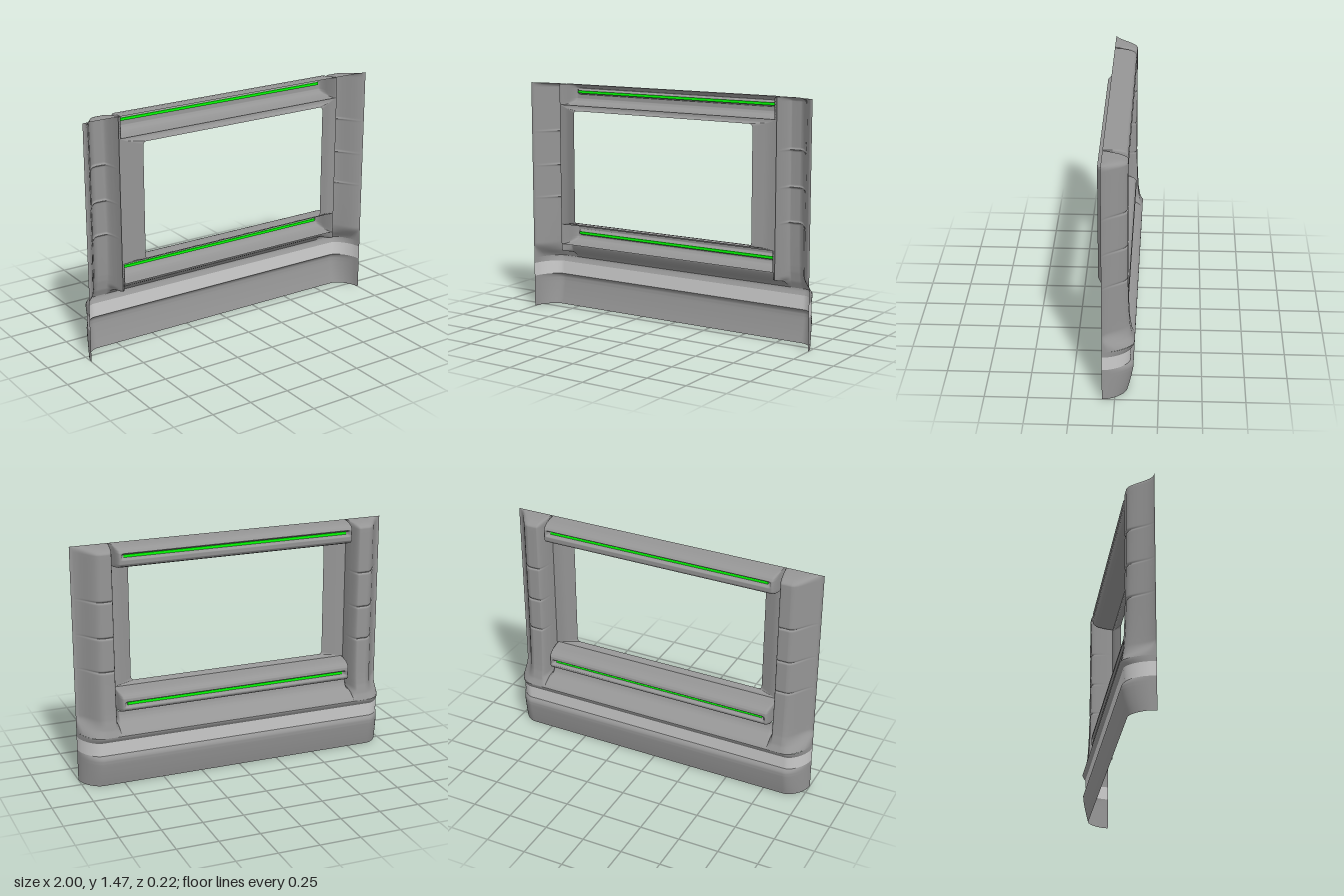
import * as THREE from 'three';

const EDGE = 0.073; // depth of the open front rim
const TOP = 1.465;

const grey = new THREE.MeshStandardMaterial({ color: 0x959595, side: THREE.DoubleSide });
const pale = new THREE.MeshStandardMaterial({ color: 0xcccccc, side: THREE.DoubleSide });
const green = new THREE.MeshStandardMaterial({ color: 0x00ff00 });

const clamp = THREE.MathUtils.clamp, mix = THREE.MathUtils.lerp, smooth = THREE.MathUtils.smoothstep;

// Quarter-round ramp from 0 to 1
function round(t, p = 2) {
  return Math.pow(1 - Math.pow(1 - clamp(t, 0, 1), p), 1 / p);
}

// Piecewise profile lookup through [y, z] points
function profile(points, y) {
  if (y <= points[0][0]) return points[0][1];
  for (let i = 1; i < points.length; i++) {
    const [a, za] = points[i - 1], [b, zb] = points[i];
    if (y <= b) return mix(za, zb, (y - a) / (b - a));
  }
  return points[points.length - 1][1];
}

// Subdivide each interval of a list of stops
function refine(stops, n) {
  const out = [stops[0]];
  for (let i = 1; i < stops.length; i++)
    for (let k = 1; k <= n; k++) out.push(mix(stops[i - 1], stops[i], k / n));
  return out;
}

// Grid surface through rows of points
function gridMesh(name, rows, material) {
  const w = rows[0].length, index = [];
  for (let j = 0; j < rows.length - 1; j++)
    for (let i = 0; i < w - 1; i++) {
      const a = j * w + i, b = a + 1, c = a + w, d = c + 1;
      index.push(a, c, b, b, c, d);
    }
  const g = new THREE.BufferGeometry();
  g.setAttribute('position', new THREE.Float32BufferAttribute(rows.flat(2), 3));
  g.setIndex(index);
  g.computeVertexNormals();
  const mesh = new THREE.Mesh(g, material);
  mesh.name = name;
  return mesh;
}

// Shell patch whose depth is a rule of x and y
function patch(name, xs, ys, depth, material = grey) {
  return gridMesh(name, ys.map(y => xs.map(x => [x, y, depth(x, y)])), material);
}

const mirrorStops = half => [...half.map(x => -x).reverse(), ...half];

// Rounded sweep of the skirt towards the front rim at both ends
const endSweep = ax => round((1 - ax) / 0.115, 1.7);

// Skirt: bulging base that curls to the front at both ends
const skirtProfile = [[0, -0.07], [0.05, -0.083], [0.1, -0.094], [0.15, -0.103], [0.175, -0.104],
  [0.19, -0.098], [0.2, -0.086], [0.285, -0.091], [0.297, -0.1], [0.31, -0.108], [0.32, -0.11]];
const skirtDepth = (x, y) => mix(EDGE, profile(skirtProfile, y), endSweep(Math.abs(x)));

// Cove: hollow from the skirt ridge up to the lower beam, with a gap opening at its ends
const coveProfile = [[0.32, -0.11], [0.335, -0.098], [0.35, -0.076], [0.365, -0.05], [0.38, -0.028],
  [0.395, -0.014], [0.415, -0.004], [0.44, 0.002]];
function coveDepth(x, y) {
  const gap = smooth(y, 0.365, 0.4) * (1 - round((0.765 - Math.abs(x)) / 0.015));
  return mix(profile(coveProfile, y), EDGE, gap);
}

// Pillars: padded columns with three creases
const pillarProfile = [[0.32, -0.11], [0.335, -0.104], [0.36, -0.094], [0.42, -0.083], [0.5, -0.076], [0.72, -0.07]];
const creases = [0.72, 0.93, 1.15];
function pillarDepth(x, y) {
  const ax = Math.abs(x);
  let face = profile(pillarProfile, y);
  for (const c of creases) face += 0.009 * Math.exp(-(((y - c) / 0.006) ** 2));
  face = mix(EDGE, face, round((TOP - y) / 0.035, 2.2));
  const outer = mix(endSweep(ax), 1 - smooth(ax, 0.86, 0.995), smooth(y, 0.31, 0.42));
  return mix(coveDepth(0.77, y), mix(EDGE, face, outer), round((ax - 0.77) / 0.03));
}

// Beam section in local height, with a groove along its middle
const HALF = 0.76;
const beamProfile = [[0, EDGE], [0.002, 0.0], [0.008, -0.035], [0.018, -0.057], [0.032, -0.068], [0.058, -0.07]];
function beamDepth(height, grooveY) {
  return (x, y) => {
    const ax = Math.abs(x);
    let z = profile(beamProfile, Math.min(y, height - y));
    const inGroove = Math.exp(-(((y - grooveY) / 0.014) ** 4)) * (1 - smooth(ax, 0.715, 0.735));
    z += 0.028 * inGroove;
    return mix(EDGE, z, round((HALF - ax) / 0.024, 2.4));
  };
}

function beam(name, base, height, grooveY) {
  const group = new THREE.Group();
  group.name = name;
  const xs = mirrorStops([0.5, ...refine([0.7, 0.735, HALF], 8), 0.775]);
  const mids = refine([0.008, height - 0.008], 48);
  const ys = [0, 0.001, 0.002, 0.005, ...mids, height - 0.005, height - 0.002, height - 0.001, height];
  group.add(patch(name + 'Shell', xs, ys, beamDepth(height, grooveY)));
  // Lit strip seated in the groove, visible on both faces
  const strip = new THREE.Mesh(new THREE.BoxGeometry(1.42, 0.016, 0.012), green);
  strip.name = name + 'Strip';
  strip.position.set(0, grooveY, -0.042);
  group.add(strip);
  group.position.y = base;
  return group;
}

// Rounded rectangle loop at a given depth
function rectLoop(hx, y0, y1, r, z) {
  const pts = [];
  const corners = [[hx - r, y1 - r], [-hx + r, y1 - r], [-hx + r, y0 + r], [hx - r, y0 + r]];
  corners.forEach(([cx, cy], k) => {
    for (let i = 0; i <= 6; i++) {
      const a = (k + i / 6) * Math.PI / 2;
      pts.push([cx + r * Math.cos(a), cy + r * Math.sin(a), z]);
    }
  });
  pts.push(pts[0].slice());
  return pts;
}

export function createModel() {
  const model = new THREE.Group();
  model.name = 'windowWallPanel';

  // Skirt in three strips, the middle one pale
  const skirtXs = mirrorStops([0.6, 0.85, ...refine([0.88, 0.96, 1], 8)]);
  model.add(patch('skirt', skirtXs, refine([0, 0.15, 0.2], 8), skirtDepth));
  model.add(patch('paleBand', skirtXs, refine([0.2, 0.285], 3), skirtDepth, pale));
  model.add(patch('skirtRidge', skirtXs, refine([0.285, 0.32], 6), skirtDepth));

  // Cove between the pillars
  const coveXs = mirrorStops([0.6, ...refine([0.745, 0.765], 8), 0.775]);
  model.add(patch('cove', coveXs, refine([0.32, 0.38, 0.44], 10), coveDepth));

  // Pillars on both sides
  const creaseYs = creases.flatMap(c => refine([c - 0.02, c + 0.02], 14));
  const pillarYs = [...refine([0.32, 0.46], 20), 0.55, 0.65, ...creaseYs, 1.3, 1.4,
    ...refine([1.43, 1.455, 1.463, TOP], 5)];
  const pillarXs = [...refine([0.77, 0.774, 0.8], 6), ...refine([0.83, 0.86, 0.98, 1], 8)];
  for (const side of [1, -1]) {
    const xs = side > 0 ? pillarXs : pillarXs.map(x => -x).reverse();
    model.add(patch(side > 0 ? 'leftPillar' : 'rightPillar', xs, pillarYs, pillarDepth));
  }

  // Beams above and below the window
  model.add(beam('upperBeam', 1.333, TOP - 1.333, 0.077));
  model.add(beam('lowerBeam', 0.44, 0.13, 0.06));

  // Window surround sloping forward to the opening
  model.add(gridMesh('windowSurround', [
    rectLoop(0.775, 0.568, 1.335, 0.002, EDGE),
    rectLoop(0.73, 0.576, 1.318, 0.004, 0.075),
    rectLoop(0.7, 0.58, 1.312, 0.008, 0.084),
    rectLoop(0.645, 0.584, 1.308, 0.018, 0.107),
    rectLoop(0.638, 0.586, 1.305, 0.022, 0.11),
  ], grey));

  return model;
}
